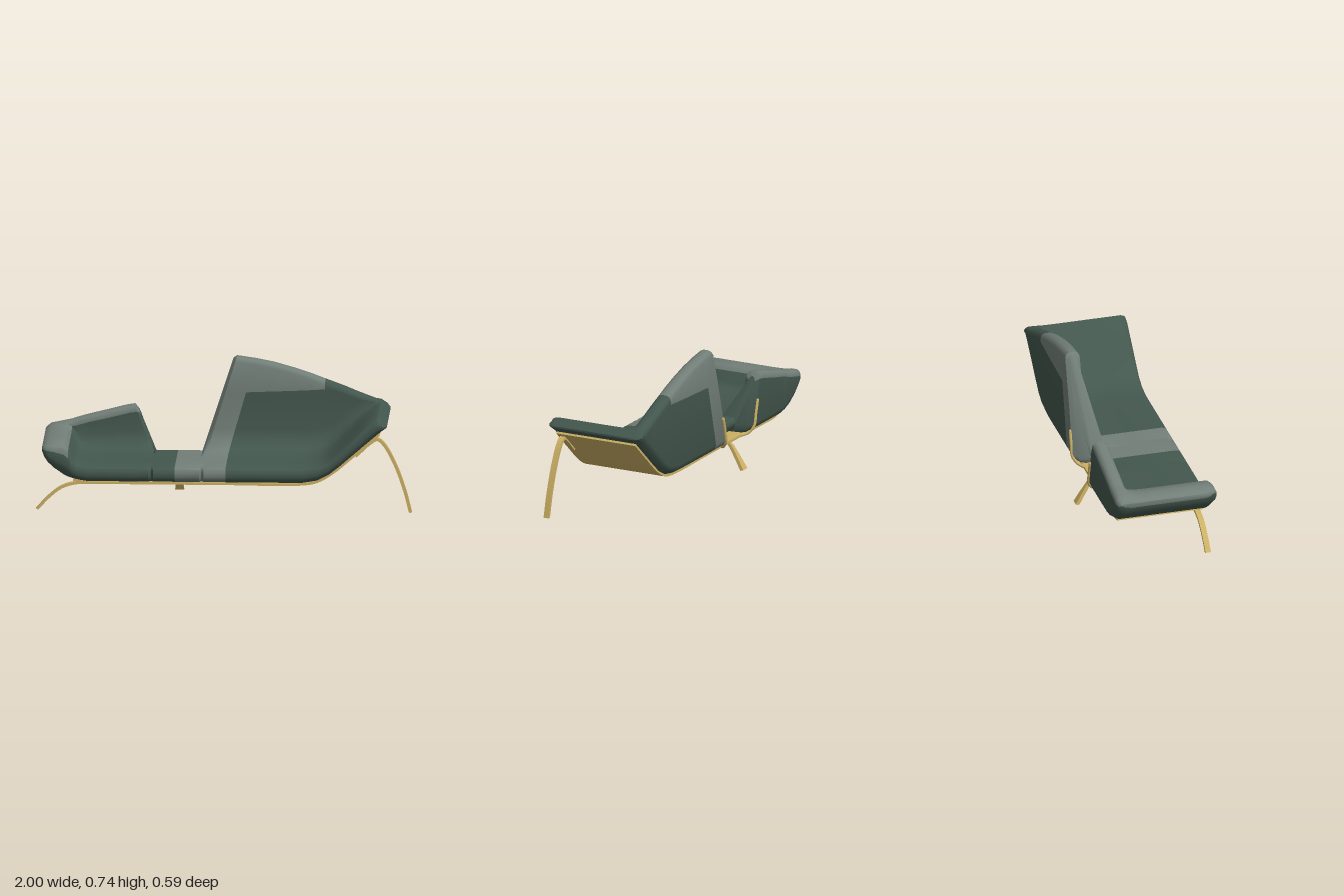
import * as THREE from 'three';
import { toCreasedNormals } from 'three/addons/utils/BufferGeometryUtils.js';

const clamp = THREE.MathUtils.clamp;

// One cross-section of the sofa: seat slab with an upright back, as [x, y, z] points.
// x: base position, xt: position at the top of the back, b: underside, s: seat top,
// t: back top, zb: rear face, ym: seam height of the top pad, inset: edge rounding.
function section({ x, xt = x, b, s, t = s, zb = -0.26, ym = t - 0.035, inset = 0 }) {
  const h = s - b;
  const zf = 0.295 - inset;
  const zi = zb + 0.08 - inset;
  const zr = zb + inset;
  const top = Math.max(s, t - inset * 0.5);
  const f = Math.min(1, (t - s) / 0.25);
  const low = Math.min(0.055, h * 0.6);
  const foot = s + 0.11 * f;
  const inner = (y) => clamp(y, Math.min(foot, top), top);
  const outer = (y) => clamp(y, b + low, top);
  const e = Math.min(0.025, 0.012 + (top - s));
  const profile = [
    [zf - 0.035, b], [zf - 0.008, b + 0.2 * h], [zf, b + 0.4 * h],
    [zf, s - 0.3 * h], [zf - 0.008, s - 0.1 * h], [zf - 0.03, s],
    [0.1, s], [zi + 0.1, s], [zi + 0.05, s + 0.015 * f], [zi + 0.015, s + 0.05 * f],
    [zi, inner(foot)], [zi, inner(ym)], [zi, inner(top - 0.025)],
    [zi - 0.008, inner(top - 0.008)], [zi - 0.025, top],
    [zr + e, top], [zr + e * 0.3, outer(top - 0.008)], [zr, outer(top - 0.025)],
    [zr, outer(Math.min(ym, top - 0.025))], [zr, b + low],
    [zr + 0.012, b + low * 0.4], [zr + 0.045, b],
  ];
  return profile.map(([z, y]) => {
    const k = t - s > 0.01 ? clamp((y - s) / (t - s), 0, 1) : 0;
    return [x + (xt - x) * k, y, z];
  });
}

const STATIONS = [
  // low arm with its rolled lip
  { x: -0.965, b: 0.315, s: 0.34, t: 0.342, inset: 0.035 },
  { x: -0.955, b: 0.29, s: 0.35, t: 0.355, inset: 0.012 },
  { x: -0.935, b: 0.262, s: 0.357, t: 0.366 },
  { x: -0.9, b: 0.23, s: 0.362, t: 0.374 },
  { x: -0.85, b: 0.195, s: 0.358, t: 0.385 },
  { x: -0.825, b: 0.183, s: 0.335, t: 0.39 },
  { x: -0.805, b: 0.176, s: 0.28, t: 0.397 },
  { x: -0.78, b: 0.169, s: 0.253, t: 0.405 },
  { x: -0.73, b: 0.161, s: 0.241, t: 0.419 },
  // low back
  { x: -0.6, xt: -0.65, b: 0.16, s: 0.24, t: 0.439 },
  { x: -0.45, xt: -0.53, b: 0.16, s: 0.24, t: 0.47 },
  { x: -0.4, xt: -0.49, b: 0.16, s: 0.24, t: 0.476 },
  { x: -0.385, xt: -0.475, b: 0.16, s: 0.24, t: 0.465, inset: 0.02 },
  // open gap
  { x: -0.375, b: 0.16, s: 0.24, zb: -0.17 },
  { x: -0.26, b: 0.16, s: 0.24, zb: -0.17 },
  { x: -0.13, b: 0.16, s: 0.24, zb: -0.17 },
  // high back
  { x: -0.12, xt: 0.035, b: 0.16, s: 0.24, t: 0.742, ym: 0.55, inset: 0.02 },
  { x: -0.105, xt: 0.05, b: 0.16, s: 0.24, t: 0.742, ym: 0.55 },
  { x: 0.01, xt: 0.15, b: 0.16, s: 0.24, t: 0.728, ym: 0.552 },
  { x: 0.15, xt: 0.25, b: 0.16, s: 0.24, t: 0.708, ym: 0.557 },
  { x: 0.3, xt: 0.36, b: 0.16, s: 0.24, t: 0.677, ym: 0.562 },
  { x: 0.42, xt: 0.45, b: 0.161, s: 0.241, t: 0.647, ym: 0.567 },
  { x: 0.5, xt: 0.52, b: 0.175, s: 0.253, t: 0.62, ym: 0.572 },
  // sloping arm
  { x: 0.56, xt: 0.575, b: 0.207, s: 0.283, t: 0.6 },
  { x: 0.62, b: 0.255, s: 0.338, t: 0.583 },
  { x: 0.7, b: 0.325, s: 0.415, t: 0.55 },
  { x: 0.79, b: 0.403, s: 0.499, t: 0.516 },
  { x: 0.815, b: 0.425, s: 0.507, t: 0.511 },
  { x: 0.845, b: 0.45, s: 0.488, t: 0.49 },
  { x: 0.865, b: 0.463, s: 0.473, t: 0.474, inset: 0.02 },
];

// Which faces carry the pale cloth: the seat band, the top pads and the low arm lip
function isPale(x, band) {
  const pad = band >= 11 && band <= 17;
  if (x > -0.26 && x < 0.01) return true;
  if (x > 0.01 && x < 0.5) return pad;
  if (x < -0.825) return band >= 3 && band <= 17;
  return x < -0.382 && pad;
}

function upholsteryGeometry() {
  const rings = STATIONS.map(section);
  const n = rings[0].length;
  const last = rings.length - 1;
  const positions = rings.flat(2);
  const faces = [[], []];
  for (let i = 0; i < last; i++) {
    const mid = (STATIONS[i].x + STATIONS[i + 1].x) / 2;
    for (let j = 0; j < n; j++) {
      const k = (j + 1) % n;
      const a = i * n + j, b = i * n + k, c = b + n, d = a + n;
      faces[isPale(mid, j) ? 1 : 0].push(a, d, c, a, c, b);
    }
  }
  // end caps
  [[0, 1], [last, 0]].forEach(([ring, colour]) => {
    const centre = positions.length / 3;
    const sum = rings[ring].reduce((m, p) => m.map((v, q) => v + p[q] / n), [0, 0, 0]);
    positions.push(...sum);
    for (let j = 0; j < n; j++) {
      const a = ring * n + j, b = ring * n + ((j + 1) % n);
      faces[colour].push(centre, ...(ring === 0 ? [a, b] : [b, a]));
    }
  });
  const geo = new THREE.BufferGeometry();
  geo.setAttribute('position', new THREE.Float32BufferAttribute(positions, 3));
  geo.setIndex([...faces[0], ...faces[1]]);
  geo.addGroup(0, faces[0].length, 0);
  geo.addGroup(faces[0].length, faces[1].length, 1);
  return toCreasedNormals(geo, 0.75);
}

// Flat metal strip bent along a curve, centred on z = 0
function strip(points, thickness, width) {
  const curve = new THREE.CatmullRomCurve3(
    points.map(([u, v]) => new THREE.Vector3(u, v, 0)), false, 'centripetal');
  const upper = [], lower = [];
  for (let i = 0; i <= 36; i++) {
    const p = curve.getPoint(i / 36), d = curve.getTangent(i / 36);
    const ox = (-d.y * thickness) / 2, oy = (d.x * thickness) / 2;
    upper.push(new THREE.Vector2(p.x + ox, Math.max(0, p.y + oy)));
    lower.unshift(new THREE.Vector2(p.x - ox, Math.max(0, p.y - oy)));
  }
  const geo = new THREE.ExtrudeGeometry(new THREE.Shape([...upper, ...lower]),
    { depth: width, bevelEnabled: false });
  geo.translate(0, 0, -width / 2);
  return toCreasedNormals(geo, 0.5);
}

export function createModel() {
  const darkCloth = new THREE.MeshStandardMaterial({ color: 0x43574e });
  const paleCloth = new THREE.MeshStandardMaterial({ color: 0x727e78 });
  const brass = new THREE.MeshStandardMaterial({ color: 0xcbb064 });
  darkCloth.name = 'dark green cloth';
  paleCloth.name = 'pale green cloth';
  brass.name = 'brass';

  const model = new THREE.Group();
  model.name = 'sofa';
  const add = (name, geo, material) => {
    const mesh = new THREE.Mesh(geo, material);
    mesh.name = name;
    model.add(mesh);
    return mesh;
  };

  add('upholstery', upholsteryGeometry(), [darkCloth, paleCloth]);

  // plate under the seat, bent up beneath the sloping arm
  add('basePlate', strip([[-0.8, 0.168], [-0.73, 0.153], [-0.6, 0.152], [0, 0.152],
    [0.4, 0.152], [0.49, 0.166], [0.57, 0.21], [0.7, 0.318], [0.825, 0.427]], 0.014, 0.475),
  brass).position.z = 0.025;

  // side legs
  add('lowArmLeg', strip([[-0.993, 0], [-0.93, 0.068], [-0.86, 0.122], [-0.78, 0.146],
    [-0.65, 0.148]], 0.014, 0.03), brass).position.z = 0.233;
  add('highArmLeg', strip([[0.7, 0.305], [0.78, 0.378], [0.815, 0.396], [0.85, 0.368],
    [0.91, 0.258], [0.96, 0.12], [0.991, 0]], 0.016, 0.03), brass).position.z = 0.233;

  // rear leg, widening towards the floor
  const rear = strip([[-0.1, 0.147], [-0.17, 0.145], [-0.2, 0.132], [-0.24, 0.075],
    [-0.285, 0]], 0.018, 1);
  rear.rotateY(-Math.PI / 2);
  const pos = rear.attributes.position;
  for (let i = 0; i < pos.count; i++) {
    pos.setX(i, pos.getX(i) * THREE.MathUtils.lerp(0.048, 0.018, clamp(pos.getY(i) / 0.14, 0, 1)));
  }
  rear.computeVertexNormals();
  add('rearLeg', rear, brass).position.x = -0.257;

  // brackets that rise from the plate onto each back
  [[-1, 'lowBackBracket'], [1, 'highBackBracket']].forEach(([side, name]) => {
    const path = [[0.02, 0.15, -0.17], [0.09, 0.15, -0.195], [0.14, 0.162, -0.235],
      [0.158, 0.2, -0.26], [0.172, 0.26, -0.262], [0.192, 0.332, -0.262]];
    const curve = new THREE.CatmullRomCurve3(
      path.map(([x, y, z]) => new THREE.Vector3(-0.257 + side * x, y, z)));
    add(name, new THREE.TubeGeometry(curve, 32, 0.009, 8), brass);
    const tip = add(name + 'Tip', new THREE.SphereGeometry(0.009, 8, 6), brass);
    tip.position.copy(curve.getPoint(1));
  });

  return model;
}
